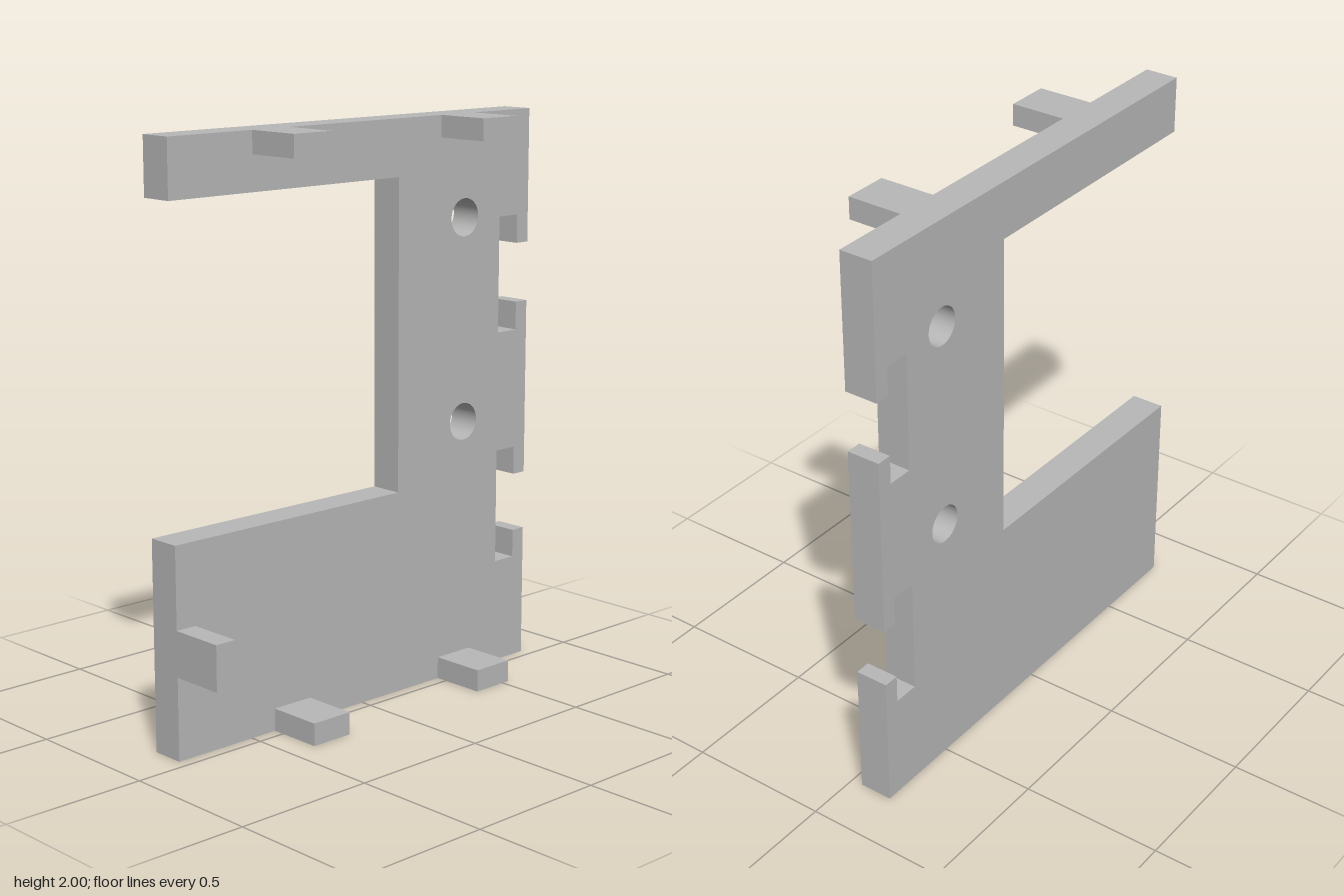
import * as THREE from 'three';

export function createModel() {
  const model = new THREE.Group();
  model.name = 'bracketPanel';
  const grey = new THREE.MeshStandardMaterial({ color: 0xb8b8b8 });
  grey.name = 'plain grey';

  const inner = -0.04, outer = -0.158, tabEnd = 0.156, half = 0.808;

  // Panel outline in (z, y): C-shaped window at the front, hooked slots at the back
  const outline = [[half, 0], [half, 0.72], [-0.17, 0.72], [-0.17, 1.805], [half, 1.805], [half, 2], [-half, 2]];
  for (const base of [1.218, 0.376]) {
    outline.push(
      [-half, base + 0.311], [-0.753, base + 0.311], [-0.753, base + 0.412], [-0.662, base + 0.412],
      [-0.662, base], [-0.753, base], [-0.753, base + 0.1], [-half, base + 0.1]);
  }
  outline.push([-half, 0]);
  const shape = new THREE.Shape(outline.map(([z, y]) => new THREE.Vector2(z, y)));

  // Two round screw holes
  for (const y of [1.643, 0.922]) {
    shape.holes.push(new THREE.Path().absarc(-0.488, y, 0.066, 0, Math.PI * 2, true));
  }

  const panelGeometry = new THREE.ExtrudeGeometry(shape, {
    depth: inner - outer, bevelEnabled: false, curveSegments: 32,
  });
  panelGeometry.rotateY(-Math.PI / 2).translate(inner, 0, 0);
  const panel = new THREE.Mesh(panelGeometry, grey);
  panel.name = 'panel';
  model.add(panel);

  // Joining tabs: name, z range, y range
  const tabs = [
    ['topFrontTab', 0.313, 0.47, 1.924, 2],
    ['topBackTab', -0.527, -0.37, 1.924, 2],
    ['bottomFrontTab', 0.243, 0.4, 0, 0.078],
    ['bottomBackTab', -0.527, -0.37, 0, 0.078],
    ['frontEdgeTab', 0.732, half, 0.284, 0.44],
  ];
  for (const [name, z0, z1, y0, y1] of tabs) {
    const tab = new THREE.Mesh(new THREE.BoxGeometry(tabEnd - inner, y1 - y0, z1 - z0), grey);
    tab.position.set((inner + tabEnd) / 2, (y0 + y1) / 2, (z0 + z1) / 2);
    tab.name = name;
    model.add(tab);
  }
  return model;
}
